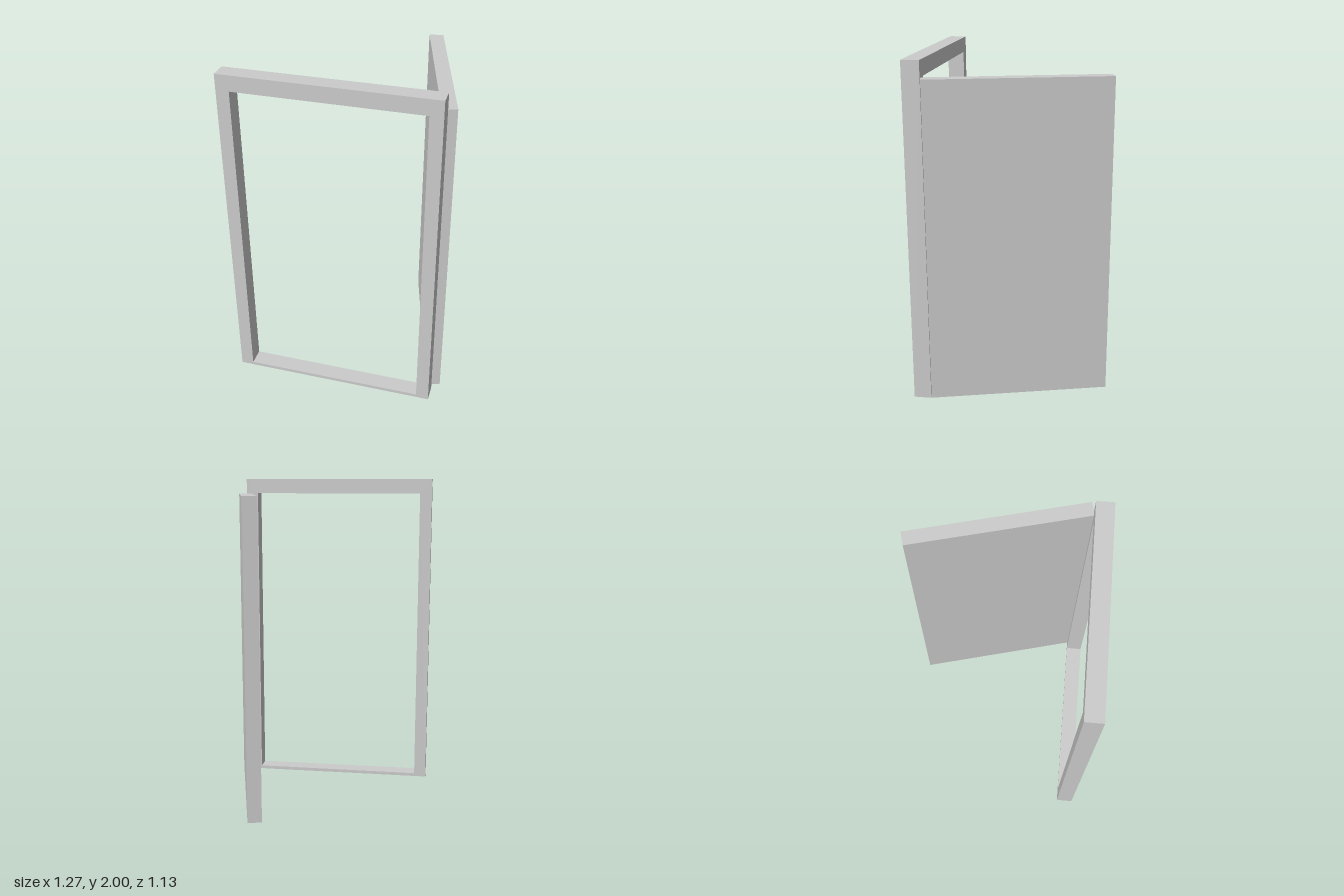
import * as THREE from 'three';

export function createModel() {
  const group = new THREE.Group();
  const material = new THREE.MeshStandardMaterial({ color: 0xcccccc });

  const rectangle = (Type, x0, y0, x1, y1) => new Type([
    new THREE.Vector2(x0, y0), new THREE.Vector2(x1, y0),
    new THREE.Vector2(x1, y1), new THREE.Vector2(x0, y1),
  ]);

  // Door frame: one slab with a tall opening, thick head and thin sill
  const outline = rectangle(THREE.Shape, -0.635, 0, 0.583, 2);
  outline.holes.push(rectangle(THREE.Path, -0.559, 0.02, 0.508, 1.908));
  const frame = new THREE.Mesh(
    new THREE.ExtrudeGeometry(outline, { depth: 0.102, bevelEnabled: false }), material);
  frame.name = 'doorFrame';
  frame.position.z = 0.461;
  group.add(frame);

  // Door leaf: swung open behind the frame, hinged on its left
  const door = new THREE.Mesh(new THREE.BoxGeometry(0.084, 1.875, 1.045), material);
  door.name = 'doorLeaf';
  door.position.set(0.456, 0.03 + 1.875 / 2, -0.048);
  door.rotation.y = THREE.MathUtils.degToRad(15);
  group.add(door);

  return group;
}
